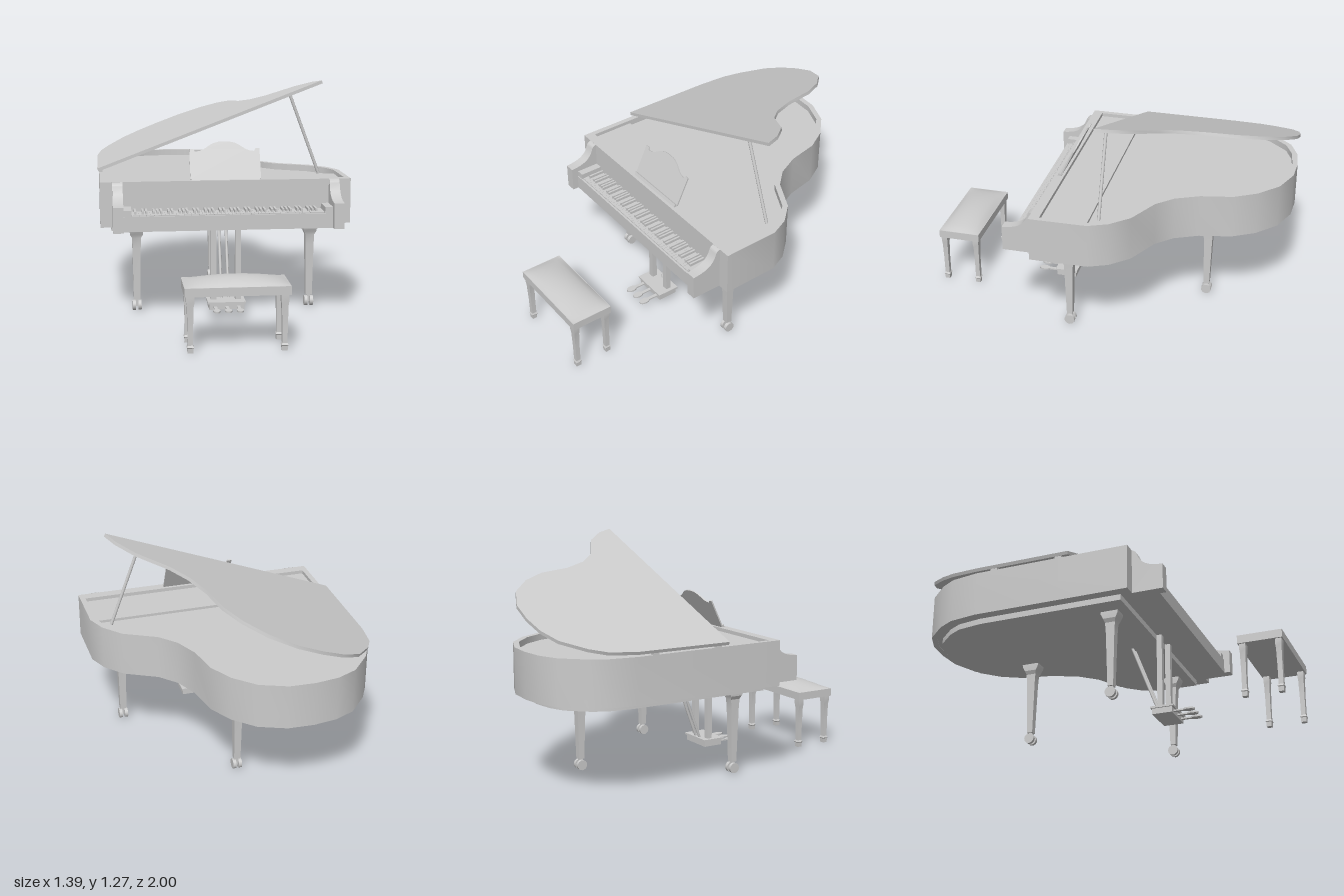
import * as THREE from 'three';
import { toCreasedNormals } from 'three/addons/utils/BufferGeometryUtils.js';

const grey = new THREE.MeshStandardMaterial({ color: 0xcccccc, side: THREE.DoubleSide });

// Case outline seen from above, as [x, z]
const outline = [
  [-0.69, 0.305], [-0.69, -0.575], [-0.665, -0.73], [-0.615, -0.82], [-0.51, -0.935], [-0.4, -0.983],
  [-0.27, -1], [-0.13, -0.993], [0.015, -0.935], [0.125, -0.83], [0.195, -0.705], [0.23, -0.53],
  [0.29, -0.4], [0.375, -0.31], [0.55, -0.22], [0.64, -0.12], [0.685, -0.015], [0.69, 0.305],
];

// Moves every side of the outline inward by d
function inset(pts, d) {
  const n = pts.length;
  return pts.map((p, i) => {
    const a = new THREE.Vector2(...pts[(i + n - 1) % n]), b = new THREE.Vector2(...p), c = new THREE.Vector2(...pts[(i + 1) % n]);
    const u = b.clone().sub(a).normalize(), v = c.clone().sub(b).normalize();
    const n1 = new THREE.Vector2(-u.y, u.x), n2 = new THREE.Vector2(-v.y, v.x);
    const k = d / (1 + n1.dot(n2));
    return [b.x + (n1.x + n2.x) * k, b.y + (n1.y + n2.y) * k];
  });
}
const toVectors = (pts) => pts.map(([x, z]) => new THREE.Vector2(x, -z));

// Flat slab with a plan outline, standing from y0 to y1
function slab(pts, y0, y1, hole) {
  const shape = new THREE.Shape(toVectors(pts));
  if (hole) shape.holes.push(new THREE.Path(toVectors(hole)));
  const g = new THREE.ExtrudeGeometry(shape, { depth: y1 - y0, bevelEnabled: false });
  return toCreasedNormals(g.rotateX(-Math.PI / 2).translate(0, y0, 0), 0.7);
}

// Square post through sections [y, width, depth], bottom to top
function post(sections) {
  const n = sections.length - 1;
  const g = new THREE.BoxGeometry(1, 1, 1, 1, n, 1), p = g.attributes.position;
  for (let i = 0; i < p.count; i++) {
    const [y, w, d] = sections[Math.round((p.getY(i) + 0.5) * n)];
    p.setXYZ(i, p.getX(i) * w, y, p.getZ(i) * d);
  }
  return toCreasedNormals(g, 0.4);
}

function add(parent, name, geometry, x = 0, y = 0, z = 0) {
  const mesh = new THREE.Mesh(geometry, grey);
  mesh.name = name;
  mesh.position.set(x, y, z);
  parent.add(mesh);
  return mesh;
}

// Box given by its limits on each axis
const block = (parent, name, [x0, x1], [y0, y1], [z0, z1]) =>
  add(parent, name, new THREE.BoxGeometry(x1 - x0, y1 - y0, z1 - z0), (x0 + x1) / 2, (y0 + y1) / 2, (z0 + z1) / 2);

// Round rod between two points
function rod(parent, name, from, to, r) {
  const a = new THREE.Vector3(...from), b = new THREE.Vector3(...to);
  const m = add(parent, name, new THREE.CylinderGeometry(r, r, a.distanceTo(b), 8));
  m.position.copy(a).lerp(b, 0.5);
  m.quaternion.setFromUnitVectors(new THREE.Vector3(0, 1, 0), b.sub(a).normalize());
}

function group(parent, name, x = 0, y = 0, z = 0) {
  const g = new THREE.Group();
  g.name = name;
  g.position.set(x, y, z);
  parent.add(g);
  return g;
}

function buildCase(root) {
  const g = group(root, 'case');
  const inner = inset(outline, 0.03).map(([x, z]) => [x, Math.min(z, 0.25)]);
  add(g, 'rim', slab(outline, 0.51, 0.76, inner));
  add(g, 'soundboard', slab(inner, 0.512, 0.725));
  block(g, 'frontDeck', [-0.66, 0.655], [0.7, 0.74], [0, 0.25]);
  add(g, 'underside', slab(inset(outline, 0.06), 0.48, 0.512));

  // Lid, hinged along the straight side
  const lid = group(g, 'lid', -0.69, 0.77, 0);
  lid.rotation.z = 0.364;
  const lidPts = [[-0.695, -0.03], ...outline.filter(([, z]) => z < -0.03), [0.68, -0.03]];
  add(lid, 'lidPanel', slab(lidPts, 0, 0.018), 0.69);
  for (const z of [-0.09, -0.47]) block(g, 'hinge', [-0.69, -0.67], [0.755, 0.777], [z - 0.02, z + 0.02]);
  rod(g, 'lidProp', [0.575, 0.735, -0.05], [0.405, 1.19, -0.05], 0.009);
}

function buildKeyboard(root) {
  const g = group(root, 'keyboard');
  // Curved arms at each end
  const arm = new THREE.Shape();
  arm.moveTo(0.3, 0.51);
  arm.lineTo(0.475, 0.51);
  arm.lineTo(0.475, 0.65);
  arm.bezierCurveTo(0.4, 0.655, 0.35, 0.67, 0.33, 0.74);
  arm.quadraticCurveTo(0.325, 0.757, 0.3, 0.76);
  const armGeo = toCreasedNormals(
    new THREE.ExtrudeGeometry(arm, { depth: 0.056, bevelEnabled: false, curveSegments: 8 })
      .translate(0, 0, -0.028).rotateY(-Math.PI / 2), 0.6);
  for (const s of [-1, 1]) {
    add(g, 'arm', armGeo, s * 0.595);
    const x = s * 0.546;
    block(g, 'keyBlock', [x - 0.022, x + 0.022], [0.51, 0.625], [0.3, 0.435]);
  }
  block(g, 'keyBed', [-0.567, 0.567], [0.51, 0.575], [0.3, 0.43]);
  block(g, 'keySlip', [-0.567, 0.567], [0.51, 0.592], [0.428, 0.44]);

  // 52 white keys starting on A, with black keys between
  const pitch = 1.046 / 52;
  const white = new THREE.BoxGeometry(pitch * 0.96, 0.03, 0.125);
  const black = new THREE.BoxGeometry(0.011, 0.02, 0.092);
  for (let i = 0; i < 52; i++) {
    const x = -0.523 + (i + 0.5) * pitch;
    add(g, 'whiteKey', white, x, 0.582, 0.366);
    if (i < 51 && ![1, 4].includes(i % 7)) add(g, 'blackKey', black, x + pitch / 2, 0.602, 0.351);
  }
}

function buildMusicDesk(root) {
  const g = group(root, 'musicDesk', 0, 0.765, 0.272);
  g.rotation.x = -0.45;
  const s = new THREE.Shape();
  s.moveTo(-0.195, 0);
  s.lineTo(0.195, 0);
  s.lineTo(0.195, 0.172);
  s.lineTo(0.172, 0.172);
  s.lineTo(0.165, 0.157);
  s.bezierCurveTo(0.09, 0.16, 0.1, 0.215, 0, 0.215);
  s.bezierCurveTo(-0.1, 0.215, -0.09, 0.16, -0.165, 0.157);
  s.lineTo(-0.172, 0.172);
  s.lineTo(-0.195, 0.172);
  add(g, 'deskPanel', new THREE.ExtrudeGeometry(s, { depth: 0.008, bevelEnabled: false, curveSegments: 8 }), 0, 0, -0.008);
  block(g, 'deskLedge', [-0.19, 0.19], [-0.012, 0.006], [-0.006, 0.012]);
}

function buildLegs(root) {
  const leg = post([[0.065, 0.036, 0.032], [0.36, 0.046, 0.048], [0.42, 0.05, 0.056], [0.44, 0.072, 0.07], [0.465, 0.075, 0.095], [0.485, 0.075, 0.1]]);
  const wheel = toCreasedNormals(new THREE.CylinderGeometry(0.029, 0.029, 0.018, 16).rotateZ(Math.PI / 2), 0.6);
  for (const [name, x, z] of [['frontLeg', -0.49, 0.14], ['frontLeg', 0.49, 0.14], ['backLeg', 0, -0.55]]) {
    const g = group(root, name, x, 0, z);
    add(g, 'legPost', leg);
    block(g, 'casterFork', [-0.008, 0.008], [0.025, 0.07], [-0.012, 0.012]);
    for (const s of [-1, 1]) add(g, 'casterWheel', wheel, s * 0.016, 0.029, 0);
  }
}

function buildPedals(root) {
  const g = group(root, 'pedalLyre');
  for (const s of [-1, 1]) {
    const x = s * 0.069;
    block(g, 'lyrePost', [x - 0.016, x + 0.016], [0.07, 0.512], [0.245, 0.275]);
    rod(g, 'brace', [s * 0.02, 0.07, 0.235], [s * 0.02, 0.49, 0.075], 0.008);
  }
  block(g, 'pedalBox', [-0.098, 0.098], [0.04, 0.075], [0.218, 0.332]);
  block(g, 'pedalBoxTop', [-0.106, 0.106], [0.072, 0.083], [0.21, 0.34]);
  // Pedals with rounded, widened toes
  for (const x of [-0.065, 0, 0.065]) {
    block(g, 'pedalStem', [x - 0.009, x + 0.009], [0.051, 0.059], [0.32, 0.42]);
    add(g, 'pedalToe', new THREE.CylinderGeometry(0.02, 0.02, 0.009, 16).scale(1, 1, 1.6), x, 0.055, 0.418);
  }
}

function buildBench(root) {
  const g = group(root, 'bench', -0.018, 0, 0.88);
  block(g, 'seatFrame', [-0.268, 0.268], [0.29, 0.335], [-0.12, 0.12]);
  // Domed cushion
  const cushion = new THREE.PlaneGeometry(0.53, 0.234, 20, 12).rotateX(-Math.PI / 2), p = cushion.attributes.position;
  for (let i = 0; i < p.count; i++) {
    const u = p.getX(i) / 0.265, v = p.getZ(i) / 0.117;
    p.setY(i, 0.335 + 0.036 * Math.pow(Math.max(0, (1 - u * u) * (1 - v * v)), 0.75));
  }
  cushion.computeVertexNormals();
  add(g, 'cushion', cushion);
  const leg = post([[0, 0.028, 0.028], [0.025, 0.03, 0.03], [0.03, 0.036, 0.036], [0.04, 0.026, 0.026], [0.14, 0.028, 0.026], [0.24, 0.034, 0.03], [0.262, 0.042, 0.034], [0.292, 0.042, 0.034]]);
  for (const x of [-0.238, 0.238]) for (const z of [-0.096, 0.096]) add(g, 'benchLeg', leg, x, 0, z);
}

export function createModel() {
  const root = new THREE.Group();
  root.name = 'grandPiano';
  [buildCase, buildKeyboard, buildMusicDesk, buildLegs, buildPedals, buildBench].forEach((build) => build(root));
  return root;
}
